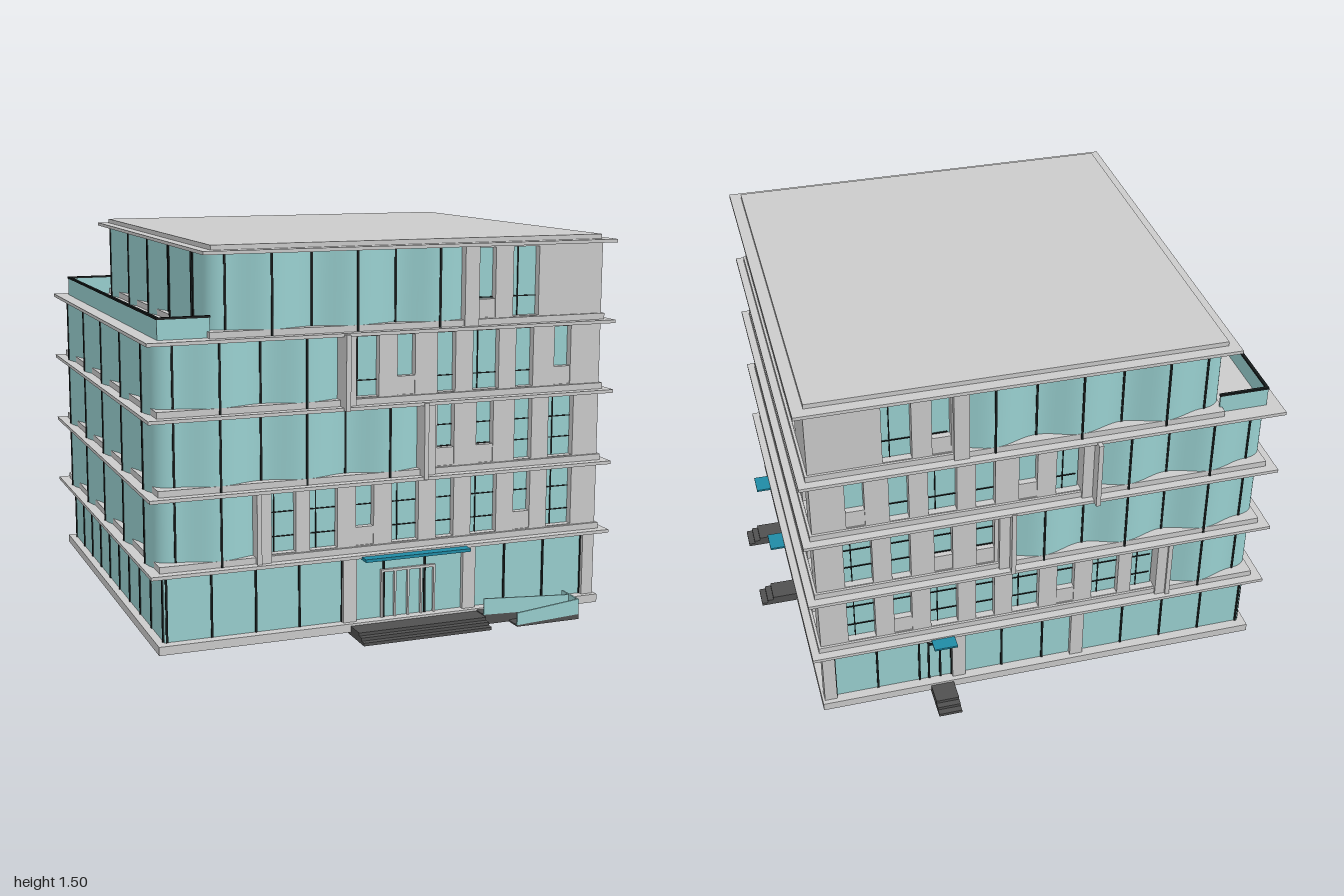
import * as THREE from 'three';

const mat = (color, side = THREE.FrontSide) => new THREE.MeshStandardMaterial({ color, side });
const GREY = mat(0xcccccc);
const GLASS = mat(0x99d0d0, THREE.DoubleSide);
const DARK = mat(0x151a1a);
const STEP = mat(0x505050);
const BLUE = mat(0x1f8ba5);

const WALL_Z = 0.81, WALL_X = 0.84; // outer faces of the front/back and right walls
const BAY = 0.166; // window spacing
const WIDTH = { W: 0.11, N: 0.075, S: 0.072 }; // wide, narrow, narrow with sill panel

function add(parent, name, geo, material) {
  const mesh = new THREE.Mesh(geo, material);
  mesh.name = name;
  parent.add(mesh);
}

// Box given by its extents on each axis
function box(parent, name, material, x0, x1, y0, y1, z0, z1) {
  const geo = new THREE.BoxGeometry(x1 - x0, y1 - y0, z1 - z0);
  geo.translate((x0 + x1) / 2, (y0 + y1) / 2, (z0 + z1) / 2);
  add(parent, name, geo, material);
}

// Group turned so that its local +z is the outward direction of a facade
function facade(parent, name, angle) {
  const g = new THREE.Group();
  g.name = name;
  g.rotation.y = angle;
  parent.add(g);
  return g;
}

// One letter per bay, centred on u = middle; '-' leaves a bay blank
function bays(pattern, first, dir = 1) {
  return [...pattern].map((kind, i) => ({ kind, u: dir * (first + i * BAY) })).filter(b => b.kind !== '-');
}

// Wall with full-height windows; short ones get a sill panel
function windowWall(g, u0, u1, floor, windows, face) {
  const { y0, y1, bars } = floor;
  const w0 = y0 + 0.028, w1 = y1 - 0.008, back = face - 0.03;
  const rect = (P, a, b, c, d) => new P([[a, c], [b, c], [b, d], [a, d]].map(p => new THREE.Vector2(...p)));
  const shape = rect(THREE.Shape, u0, u1, y0, y1);
  for (const { kind, u } of windows) {
    const a = u - WIDTH[kind] / 2, b = u + WIDTH[kind] / 2;
    shape.holes.push(rect(THREE.Path, a, b, w0, w1));
    if (kind === 'S') box(g, 'sillPanel', GREY, a, b, w0, w0 + 0.07, back, face - 0.004);
    if (kind === 'W') box(g, 'windowMullion', DARK, a + 0.03, a + 0.034, w0, w1, back, back + 0.004);
  }
  const geo = new THREE.ExtrudeGeometry(shape, { depth: 0.035, bevelEnabled: false });
  geo.translate(0, 0, face - 0.035);
  add(g, 'wall', geo, GREY);
  box(g, 'windowGlass', GLASS, u0 + 0.03, u1 - 0.03, y0, y1, back - 0.01, back);
  for (const t of bars) {
    const y = w0 + (w1 - w0) * t;
    box(g, 'windowBar', DARK, u0 + 0.04, u1 - 0.04, y - 0.002, y + 0.002, back, back + 0.004);
  }
}

// Rippling curtain wall: front, round the left side and along the back
function wavyGlass(parent, xEnd, xLeft, y0, y1) {
  const Z = 0.8, r = 0.07, amp = 0.02, pitch = 1 / 6;
  const path = new THREE.Path();
  path.moveTo(xEnd, Z);
  path.lineTo(xLeft + r, Z);
  path.absarc(xLeft + r, Z - r, r, Math.PI / 2, Math.PI, false);
  path.lineTo(xLeft, r - Z);
  path.absarc(xLeft + r, r - Z, r, Math.PI, Math.PI * 1.5, false);
  path.lineTo(xEnd, -Z);
  const len = path.getLength();
  const at = t => {
    const p = path.getPoint(t), d = path.getTangent(t);
    const o = amp * Math.cos((t - 0.5) * len * Math.PI / pitch);
    return [p.x + d.y * o, p.y - d.x * o];
  };
  const geo = new THREE.PlaneGeometry(1, 1, 260, 1);
  const pos = geo.attributes.position;
  for (let i = 0; i < pos.count; i++) {
    const [x, z] = at(0.5 - pos.getX(i));
    pos.setXYZ(i, x, pos.getY(i) > 0 ? y1 : y0, z);
  }
  geo.computeVertexNormals();
  add(parent, 'wavyGlass', geo, GLASS);
  const half = Math.floor(len / 2 / pitch);
  for (let k = -half; k <= half; k++) {
    const [x, z] = at(0.5 + k * pitch / len);
    box(parent, 'curtainMullion', DARK, x - 0.004, x + 0.004, y0, y1, z - 0.004, z + 0.004);
  }
}

// Three steps running out from a facade
function steps(g, u0, u1, near, far) {
  for (let i = 0; i < 3; i++)
    box(g, 'step', STEP, u0, u1, 0, 0.012 * (i + 1), near, far - 0.025 * i);
}

// Dark-framed door, blue canopy and steps
function sideEntrance(g, u, face) {
  const w = 0.047;
  for (const s of [-w, 0, w]) box(g, 'doorPost', DARK, u + s - 0.004, u + s + 0.004, 0.045, 0.305, face - 0.035, face - 0.015);
  box(g, 'doorHead', DARK, u - w, u + w, 0.225, 0.235, face - 0.035, face - 0.015);
  box(g, 'canopy', BLUE, u - w, u + w, 0.304, 0.312, face - 0.03, face + 0.1);
  steps(g, u - w, u + w, face - 0.02, face + 0.16);
}

// Storeys above the ground floor; fin is where curtain glass meets the window wall
const floors = [
  { y0: 0.318, y1: 0.588, fin: -0.56, finZ: 0.84, left: -0.955, bars: [0.25, 0.65], front: 'WWSWNWSW', right: 'WSWSWNSWW' },
  { y0: 0.6, y1: 0.875, fin: 0.1, finZ: 0.86, left: -0.955, bars: [0.3, 0.65], front: '----SSNW', right: 'WNSSWWSWW' },
  { y0: 0.888, y1: 1.152, fin: -0.225, finZ: 0.88, left: -0.955, bars: [0.26], front: '--WSNWNS', right: 'WSWNWSWSW' },
  { y0: 1.165, y1: 1.467, fin: 0.275, finZ: 0.83, left: -0.755, bars: [0.28], front: '-----SW-', right: 'WWSNSWWW-' },
];

export function createModel() {
  const model = new THREE.Group();
  model.name = 'officeBuilding';
  const front = facade(model, 'frontFacade', 0);
  const back = facade(model, 'backFacade', Math.PI);
  const right = facade(model, 'sideFacade', Math.PI / 2);

  // Base and ground floor glazing
  box(model, 'base', GREY, -0.97, 0.85, 0.012, 0.045, -0.83, 0.83);
  box(model, 'groundGlass', GLASS, -0.94, 0.81, 0.045, 0.305, -0.79, 0.79);
  for (let x = -0.93; x < 0.8; x += 0.172)
    for (const z of [-0.79, 0.79])
      box(model, 'groundMullion', DARK, x - 0.004, x + 0.004, 0.045, 0.305, z - 0.005, z + 0.005);
  for (let i = 0; i <= 9; i++) {
    const z = -0.78 + i * 1.56 / 9;
    for (const x of [-0.94, 0.81])
      box(model, 'groundMullion', DARK, x - 0.005, x + 0.005, 0.045, 0.305, z - 0.004, z + 0.004);
  }

  // Ground floor pillars
  for (const z of [-0.785, 0.785]) {
    for (const x of [-0.215, 0.285])
      box(model, 'pillar', GREY, x - 0.027, x + 0.027, 0.045, 0.305, z - 0.025, z + 0.025);
    box(model, 'cornerPillar', GREY, 0.79, WALL_X, 0.045, 0.305, z - 0.025, z + 0.025);
  }
  for (const [a, b] of [[-0.28, -0.225], [0.16, 0.275]])
    box(right, 'pillar', GREY, a, b, 0.045, 0.305, 0.78, 0.83);

  // Upper floors: curtain glass on the left, window walls on the right
  for (const f of floors) {
    wavyGlass(model, f.fin, f.left, f.y0, f.y1);
    windowWall(front, f.fin, WALL_X, f, bays(f.front, -0.488), WALL_Z);
    windowWall(back, -WALL_X, -f.fin, f, bays(f.front, -0.488, -1), WALL_Z);
    windowWall(right, -WALL_Z, WALL_Z, f, bays(f.right, -4 * BAY), WALL_X);
    for (const g of [front, back]) {
      const x = g === front ? f.fin : -f.fin, edge = g === front ? x - 0.025 : x + 0.025;
      box(g, 'pier', GREY, x - 0.025, x + 0.025, f.y0, f.y1, 0.75, 0.83);
      box(g, 'fin', GREY, edge - 0.009, edge + 0.009, f.y0 - 0.01, f.y1 + 0.01, 0.77, f.finZ);
    }
    // Floor plate below, with a low kerb
    box(model, 'floorPlate', GREY, -1, 0.88, f.y0 - 0.013, f.y0, -0.855, 0.855);
    box(model, 'kerb', GREY, f.left - 0.005, 0.85, f.y0, f.y0 + 0.024, -0.82, 0.82);
  }

  // Roof
  box(model, 'roofPlate', GREY, -0.79, 0.88, 1.467, 1.48, -0.855, 0.855);
  box(model, 'roofCap', GREY, -0.75, 0.835, 1.48, 1.498, -0.81, 0.81);

  // Terrace railing around the set-back
  const rail = (x0, x1, z0, z1) => {
    box(model, 'terraceGlass', GLASS, x0, x1, 1.165, 1.24, z0, z1);
    box(model, 'terraceRail', DARK, x0 - 0.002, x1 + 0.002, 1.238, 1.246, z0 - 0.002, z1 + 0.002);
  };
  rail(-0.945, -0.937, -0.79, 0.79);
  for (const z of [-0.79, 0.782]) rail(-0.937, -0.75, z, z + 0.008);

  // Main entrance
  steps(front, -0.22, 0.31, 0.8, 0.965);
  box(front, 'canopy', BLUE, -0.185, 0.25, 0.3, 0.312, 0.78, 0.895);
  for (let i = 0; i <= 4; i++) {
    const x = -0.08 + i * 0.055;
    box(front, 'doorPost', GREY, x - 0.004, x + 0.004, 0.045, 0.23, 0.785, 0.802);
  }
  box(front, 'doorHead', GREY, -0.084, 0.144, 0.226, 0.236, 0.785, 0.802);

  // Side and back entrances
  sideEntrance(right, -0.315, WALL_X);
  sideEntrance(right, 0.095, WALL_X);
  sideEntrance(back, -0.36, WALL_Z);

  // Access ramp with sloping glass sides: [x, bottom, top] at both ends
  const slope = (name, material, [x0, b0, t0], [x1, b1, t1], z0, z1) => {
    const s = new THREE.Shape([[x0, b0], [x1, b1], [x1, t1], [x0, t0]].map(p => new THREE.Vector2(...p)));
    const geo = new THREE.ExtrudeGeometry(s, { depth: z1 - z0, bevelEnabled: false });
    geo.translate(0, 0, z0);
    add(front, name, geo, material);
  };
  slope('rampLower', STEP, [0.42, 0, 0.006], [0.69, 0, 0.025], 0.895, 0.965);
  slope('rampUpper', STEP, [0.31, 0, 0.04], [0.69, 0, 0.025], 0.82, 0.895);
  slope('rampGlass', GLASS, [0.42, 0.006, 0.055], [0.69, 0.02, 0.082], 0.957, 0.965);
  slope('rampGlass', GLASS, [0.31, 0.04, 0.105], [0.69, 0.025, 0.08], 0.89, 0.897);
  box(front, 'rampEndGlass', GLASS, 0.683, 0.69, 0.025, 0.082, 0.84, 0.96);

  return model;
}
